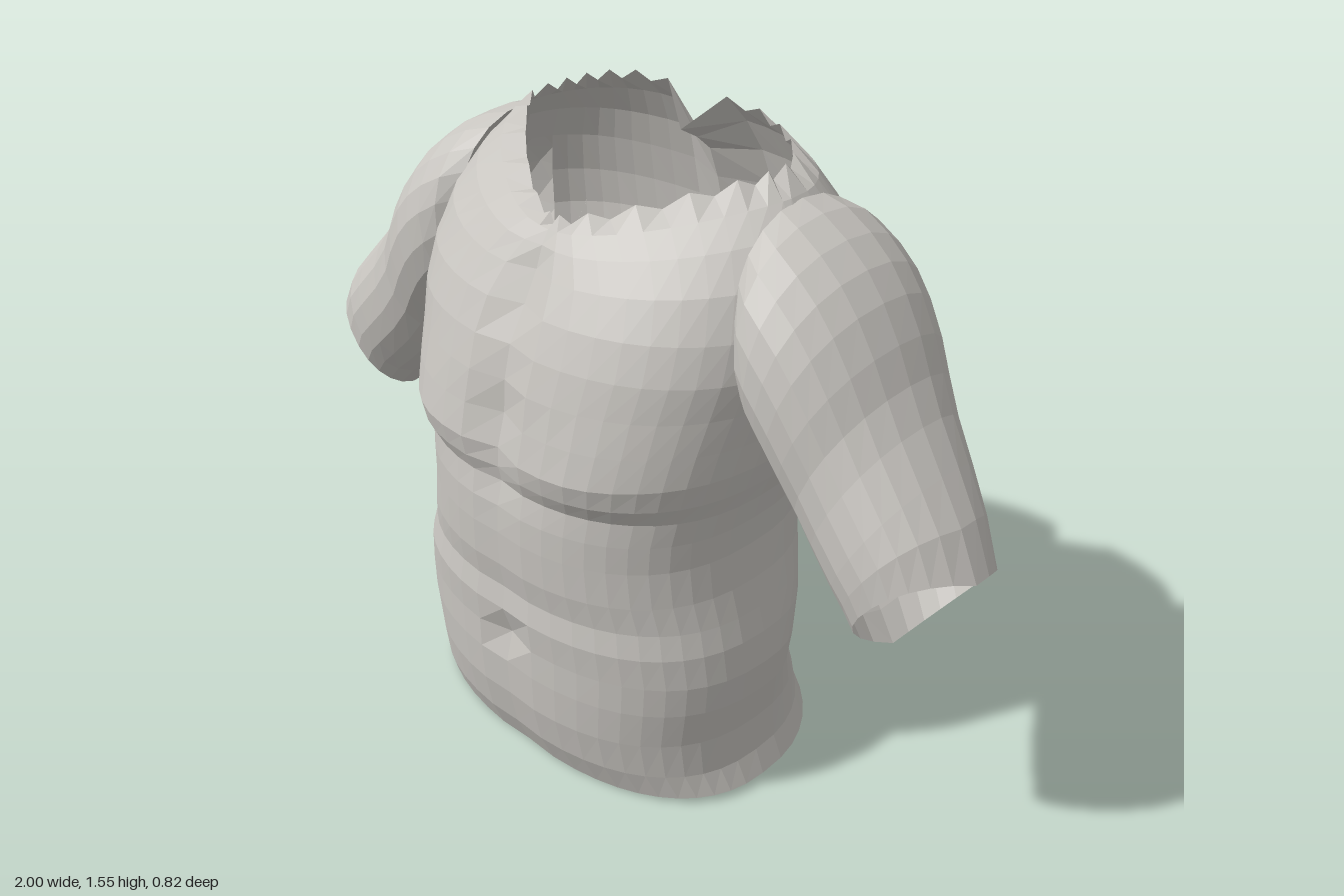
import * as THREE from 'three';

const skin = new THREE.MeshStandardMaterial({ color: 0xc8c5c0, flatShading: true, side: THREE.DoubleSide });
skin.name = 'pale stone grey';

const spow = (v, p) => Math.sign(v) * Math.pow(Math.abs(v), p);
const bump = (v, centre, width) => Math.exp(-(((v - centre) / width) ** 2));
const lerp = THREE.MathUtils.lerp;

// Skins a list of closed rings; skip(centre) leaves a hole, flip reverses the faces
function loft(rings, { skip = () => false, flip = false } = {}) {
  const n = rings[0].length, pos = [], index = [];
  rings.forEach(r => r.forEach(p => pos.push(p.x, p.y, p.z)));
  for (let i = 0; i < rings.length - 1; i++) {
    for (let j = 0; j < n; j++) {
      const k = (j + 1) % n;
      const centre = rings[i][j].clone().add(rings[i + 1][k]).multiplyScalar(0.5);
      if (skip(centre)) continue;
      const a = i * n + j, b = i * n + k, c = a + n, d = b + n;
      if (flip) index.push(a, d, b, a, c, d);
      else index.push(a, b, d, a, d, c);
    }
  }
  const g = new THREE.BufferGeometry();
  g.setAttribute('position', new THREE.Float32BufferAttribute(pos, 3));
  g.setIndex(index);
  const flat = g.toNonIndexed();
  flat.computeVertexNormals();
  return flat;
}

// Torso sections: front y, side y, back y, half width, front z, back z, front roundness
const torsoRows = [
  [0.00, 0.02, 0.06, 0.510, 0.330, -0.370, 2.4],
  [0.08, 0.08, 0.11, 0.485, 0.365, -0.355, 2.4],
  [0.18, 0.18, 0.19, 0.480, 0.385, -0.325, 2.4],
  [0.28, 0.28, 0.29, 0.495, 0.390, -0.255, 2.4],
  [0.36, 0.36, 0.34, 0.500, 0.390, -0.275, 2.4],
  [0.44, 0.44, 0.42, 0.488, 0.397, -0.315, 2.4],
  [0.50, 0.50, 0.50, 0.470, 0.388, -0.340, 2.4],
  [0.57, 0.57, 0.57, 0.450, 0.400, -0.358, 2.4],
  [0.66, 0.66, 0.66, 0.437, 0.402, -0.375, 2.4],
  [0.73, 0.73, 0.73, 0.440, 0.400, -0.382, 2.4],
  [0.79, 0.79, 0.79, 0.450, 0.390, -0.386, 2.4],
  [0.83, 0.84, 0.84, 0.465, 0.405, -0.390, 2.5],
  [0.88, 0.90, 0.90, 0.480, 0.412, -0.396, 2.5],
  [0.96, 0.97, 0.97, 0.490, 0.396, -0.404, 2.5],
  [1.04, 1.05, 1.05, 0.505, 0.382, -0.412, 2.4],
  [1.12, 1.13, 1.13, 0.520, 0.358, -0.416, 2.4],
  [1.20, 1.22, 1.22, 0.520, 0.325, -0.402, 2.3],
  [1.27, 1.32, 1.32, 0.500, 0.285, -0.375, 2.1],
  [1.32, 1.40, 1.41, 0.460, 0.255, -0.345, 1.8],
  [1.35, 1.455, 1.49, 0.415, 0.230, -0.300, 1.5],
  [1.37, 1.495, 1.55, 0.365, 0.210, -0.245, 1.25],
];

function torsoRing([yF, yS, yB, w, zF, zB, nF], row) {
  const segs = 48, ring = [];
  const up = THREE.MathUtils.smoothstep(yS, 0.7, 1.2);
  const zc = lerp(0.02, -0.08, up), nB = lerp(2.4, 2.9, up);
  const neck = row === torsoRows.length - 1;
  for (let j = 0; j < segs; j++) {
    const t = (j / segs) * Math.PI * 2, s = Math.sin(t), c = Math.cos(t);
    const front = c >= 0, n = front ? nF : nB;
    const x = w * spow(s, 2 / n);
    let z = zc + (front ? zF - zc : zc - zB) * spow(c, 2 / n);
    let y = lerp(yS, front ? yF : yB, c * c);
    const mid = bump(x, 0, 0.055);
    if (front) {
      // breastbone groove, chest lobes and navel
      z -= mid * 0.03 * (bump(y, 0.95, 0.14) + bump(y, 1.23, 0.1)) + mid * 0.006;
      z += 0.012 * bump(Math.abs(x), 0.24, 0.12) * bump(y, 0.9, 0.09);
      z -= 0.02 * bump(x, 0, 0.03) * bump(y, 0.36, 0.025);
    } else {
      // spine groove, and its dip at the neckline
      z += mid * lerp(0.03, 0.055, THREE.MathUtils.smoothstep(y, 0.15, 0.5)) * c * c;
      y -= mid * 0.07 * THREE.MathUtils.smoothstep(y, 1.36, 1.55);
    }
    if (neck) y += (j % 2 ? 0.01 : -0.012);
    ring.push(new THREE.Vector3(x, y, z));
  }
  return ring;
}

// Arm sections: outer x, y, inner x, y, front z, back z
const armRows = [
  [0.42, 1.45, 0.45, 1.00, 0.11, -0.33],
  [0.48, 1.435, 0.47, 0.98, 0.15, -0.36],
  [0.55, 1.40, 0.485, 0.955, 0.165, -0.36],
  [0.61, 1.355, 0.505, 0.93, 0.17, -0.355],
  [0.66, 1.30, 0.53, 0.90, 0.17, -0.345],
  [0.71, 1.225, 0.56, 0.86, 0.165, -0.33],
  [0.75, 1.15, 0.60, 0.805, 0.155, -0.31],
  [0.80, 1.08, 0.65, 0.745, 0.155, -0.28],
  [0.87, 1.00, 0.71, 0.685, 0.16, -0.245],
  [0.94, 0.92, 0.77, 0.63, 0.16, -0.205],
  [1.00, 0.82, 0.82, 0.575, 0.155, -0.17],
];

function armRing([xo, yo, xi, yi, zf, zb], row, side) {
  const segs = 22, ring = [];
  // the front of the open end is cut back towards the shoulder
  const cut = row === armRows.length - 1 ? 0.06 : row === armRows.length - 2 ? 0.03 : 0;
  for (let j = 0; j < segs; j++) {
    const t = (j / segs) * Math.PI * 2;
    const u = 0.5 + 0.5 * spow(Math.cos(t), 0.92), v = spow(Math.sin(t), 0.92);
    const back = cut * Math.max(0, v);
    ring.push(new THREE.Vector3(
      side * (lerp(xi, xo, u) - back),
      lerp(yi, yo, u) + back,
      lerp(zb, zf, 0.5 + 0.5 * v)));
  }
  return ring;
}

export function createModel() {
  const model = new THREE.Group();
  model.name = 'torsoShell';

  // Trunk, open at the neck, hem and arm sockets
  const inSocket = p => Math.abs(p.x) > 0.44 && p.y > 1.06 && p.y < 1.36 && Math.abs(p.z + 0.09) < 0.15;
  const torso = new THREE.Mesh(loft(torsoRows.map(torsoRing), { skip: inSocket }), skin);
  torso.name = 'torso';
  model.add(torso);

  // Upper arms, open at the ends
  for (const side of [1, -1]) {
    const rings = armRows.map((r, i) => armRing(r, i, side));
    const arm = new THREE.Mesh(loft(rings, { flip: side > 0 }), skin);
    arm.name = side > 0 ? 'leftArm' : 'rightArm';
    model.add(arm);
  }
  return model;
}
